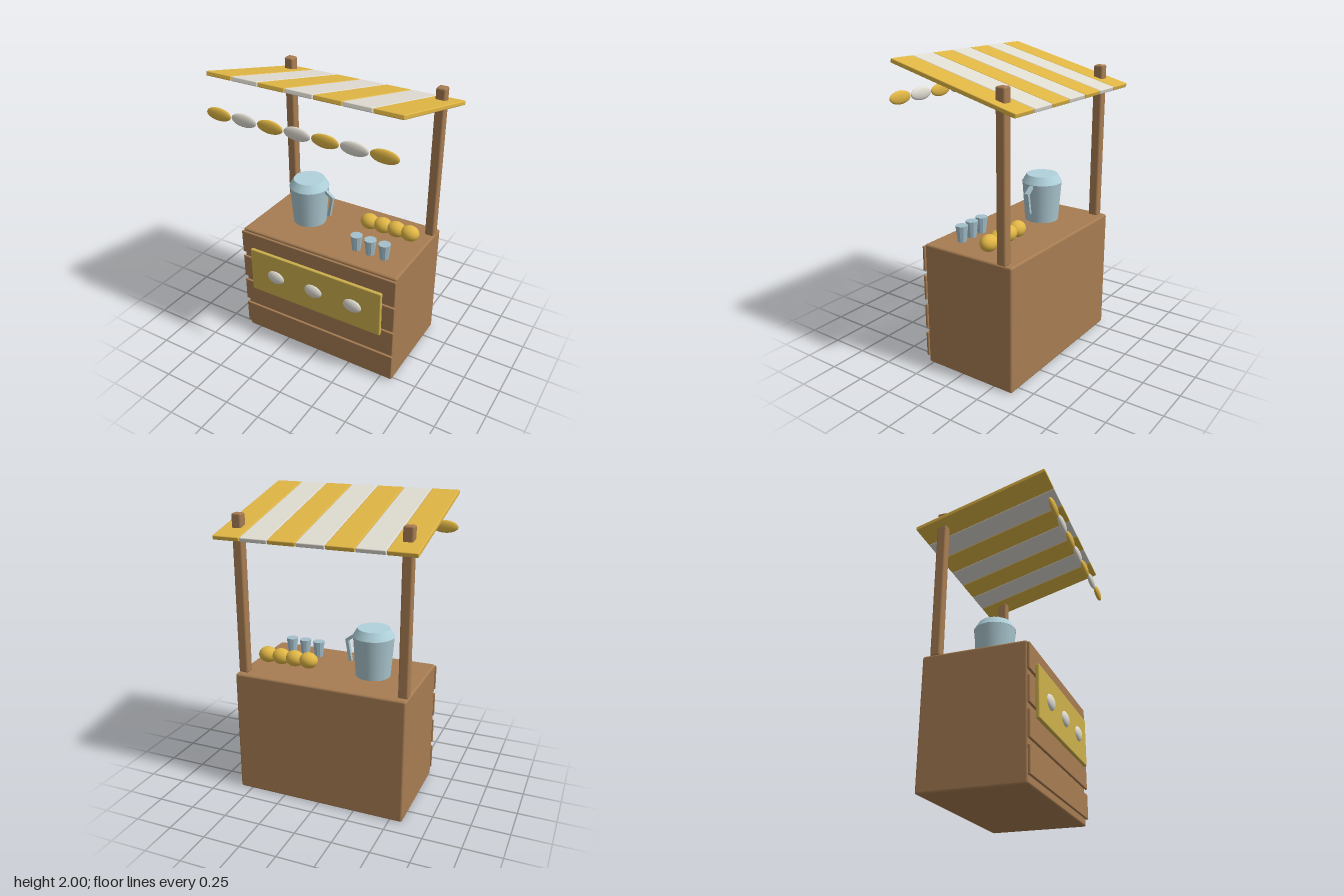
import * as THREE from 'three';
import { RoundedBoxGeometry } from 'three/addons/geometries/RoundedBoxGeometry.js';

const mat = (name, color, flatShading = false) => {
  const m = new THREE.MeshStandardMaterial({ color, flatShading });
  m.name = name;
  return m;
};

export function createModel() {
  const model = new THREE.Group();
  model.name = 'drinkStand';
  const wood = mat('wood', 0xa67c52);
  const yellow = mat('yellow', 0xe0b645);
  const cream = mat('cream', 0xe0dcd2);
  const banner = mat('bannerYellow', 0xcdb04c);
  const glass = mat('paleBlue', 0xa9c5ce);
  const lidBlue = mat('lidBlue', 0xb0d2dc);
  const cupBlue = mat('cupBlue', 0xa4c0cc, true);

  const add = (name, geometry, material, x, y, z) => {
    const m = new THREE.Mesh(geometry, material);
    m.name = name;
    m.position.set(x, y, z);
    model.add(m);
    return m;
  };
  const box = (w, h, d, r) => new RoundedBoxGeometry(w, h, d, 2, r);
  const ellipsoid = (rx, ry, rz) => new THREE.SphereGeometry(1, 24, 16).scale(rx, ry, rz);

  // Counter with four front planks
  add('counter', box(1.17, 0.845, 0.67, 0.014), wood, 0, 0.4225, -0.056);
  for (let i = 0; i < 4; i++) {
    add('plank', box(1.18, 0.17, 0.018, 0.006), wood, 0, 0.132 + i * 0.204, 0.287);
  }

  // Banner with three oval badges
  add('banner', box(1.01, 0.334, 0.026, 0.008), banner, 0, 0.555, 0.31);
  for (const x of [-0.3, 0, 0.3]) add('badge', ellipsoid(0.068, 0.05, 0.026), cream, x, 0.555, 0.32);

  // Rear posts
  for (const s of [-1, 1]) {
    add(s < 0 ? 'rightPost' : 'leftPost', box(0.065, 1.05, 0.065, 0.012), wood, s * 0.55, 1.365, -0.313);
  }

  // Sloped striped awning and the row of oval trim along its front
  for (let i = -3; i <= 3; i++) {
    const colour = i % 2 ? yellow : cream;
    const strip = add('awningStrip', box(0.182, 0.028, 0.92, 0.006), colour, i * 0.186, 1.87, -0.018);
    strip.rotation.x = -0.253;
    add('valance', ellipsoid(0.09, 0.042, 0.018), colour, i * 0.186, 1.752, 0.452);
  }

  // Pitcher: tapered body, bevelled lid, two-bar handle
  add('pitcherBody', new THREE.CylinderGeometry(0.135, 0.115, 0.27, 24), glass, -0.255, 0.98, -0.055);
  add('pitcherLid', new THREE.CylinderGeometry(0.106, 0.137, 0.053, 24), lidBlue, -0.255, 1.141, -0.055);
  const bar = (x0, y0, x1, y1) => {
    const len = Math.hypot(x1 - x0, y1 - y0);
    const m = add('pitcherHandle', new THREE.BoxGeometry(0.02, len, 0.026), glass,
      (x0 + x1) / 2, (y0 + y1) / 2, -0.056);
    m.rotation.z = Math.atan2(x0 - x1, y1 - y0);
  };
  bar(-0.13, 1.105, -0.068, 1.06);
  bar(-0.098, 0.92, -0.073, 1.066);

  // Row of lemons
  for (let i = 0; i < 4; i++) {
    add('lemon', ellipsoid(0.065, 0.054, 0.054), yellow, 0.17 + i * 0.1, 0.912, -0.143);
  }

  // Three faceted cups
  for (let i = 0; i < 3; i++) {
    add('cup', new THREE.CylinderGeometry(0.041, 0.028, 0.11, 10), cupBlue, 0.21 + i * 0.102, 0.9, 0.114);
  }
  return model;
}
